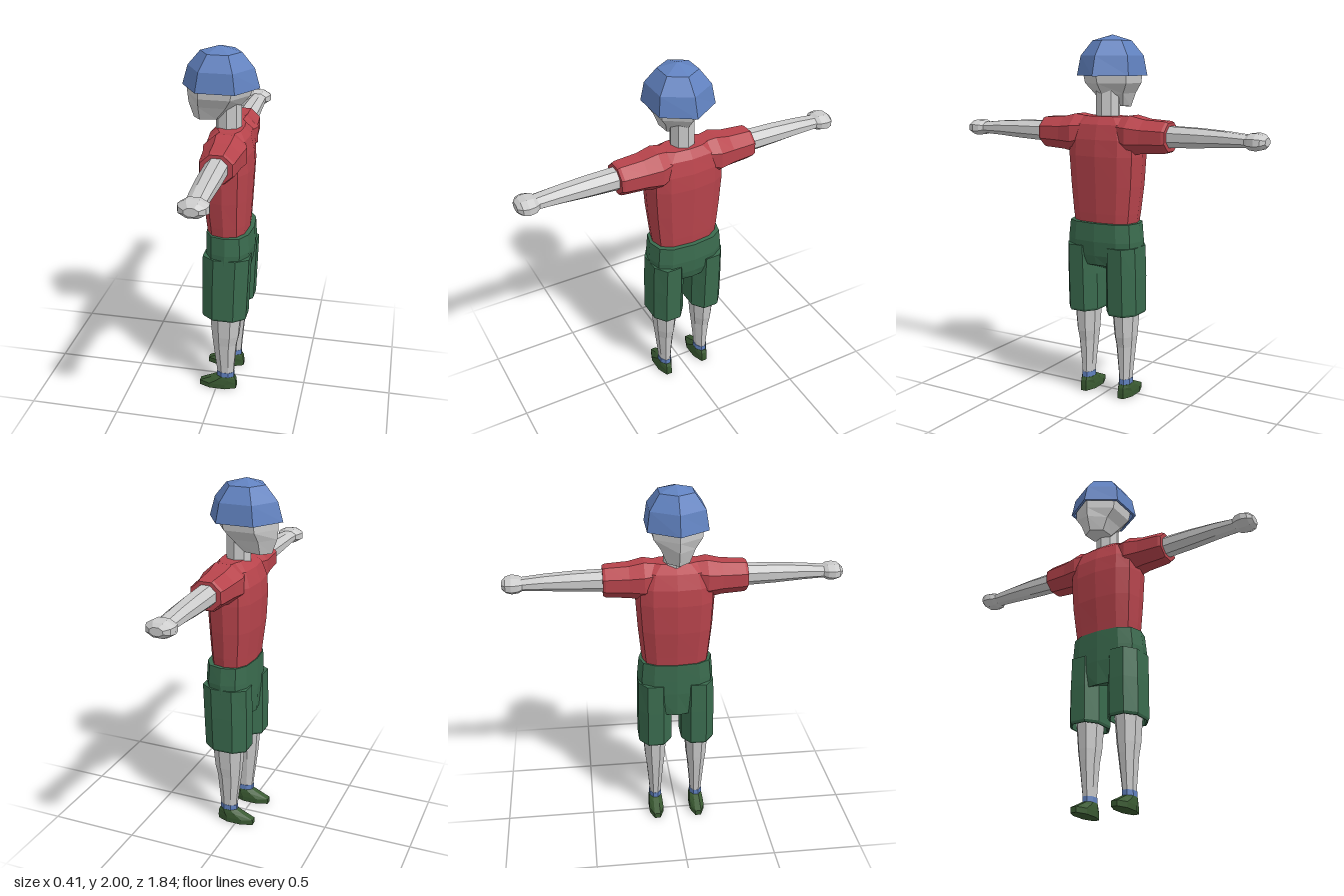
import * as THREE from 'three';

const mat = (color) => new THREE.MeshStandardMaterial({ color, flatShading: true });
const skin = mat(0xcccccc), red = mat(0xb8444c), green = mat(0x3a6b4e);
const blue = mat(0x6182c0), darkGreen = mat(0x3a5a32);

// Skins a row of n-sided rings. Each ring is [h, aMin, aMax, bMin, bMax, tilt]:
// h runs along the axis, a is x, b is z (axis 'y') or y (axis 'z').
// square < 1 makes the sections boxier; phase 0.5 puts flats on the sides.
function loft(name, material, rings, { n = 8, axis = 'y', phase = 0.5, square = 1 } = {}) {
  const unit = [];
  for (let j = 0; j < n; j++) {
    const t = ((j + phase) / n) * Math.PI * 2;
    unit.push([Math.cos(t), Math.sin(t)].map((v) => Math.sign(v) * Math.abs(v) ** square));
  }
  const maxA = Math.max(...unit.map((u) => Math.abs(u[0])));
  const maxB = Math.max(...unit.map((u) => Math.abs(u[1])));
  const pos = [], idx = [];
  const put = (a, b, h) => pos.push(...(axis === 'y' ? [a, h, b] : [a, b, h]));
  const tri = (p, q, r) => idx.push(...(axis === 'y' ? [p, r, q] : [p, q, r]));
  for (const [h, a0, a1, b0, b1, tilt = 0] of rings) {
    for (const [u, v] of unit) {
      const da = (u / maxA) * (a1 - a0) / 2, db = (v / maxB) * (b1 - b0) / 2;
      put((a0 + a1) / 2 + da, (b0 + b1) / 2 + db, h + tilt * da);
    }
  }
  for (let i = 0; i < rings.length - 1; i++) {
    for (let j = 0; j < n; j++) {
      const k = (j + 1) % n, p = i * n, q = p + n;
      tri(p + j, p + k, q + k);
      tri(p + j, q + k, q + j);
    }
  }
  // End caps
  const last = (rings.length - 1) * n, c = rings.length * n;
  for (const r of [rings[0], rings[rings.length - 1]]) put((r[1] + r[2]) / 2, (r[3] + r[4]) / 2, r[0]);
  for (let j = 0; j < n; j++) {
    const k = (j + 1) % n;
    tri(c, k, j);
    tri(c + 1, last + j, last + k);
  }
  const g = new THREE.BufferGeometry();
  g.setAttribute('position', new THREE.Float32BufferAttribute(pos, 3));
  g.setIndex(idx);
  const flat = g.toNonIndexed();
  flat.computeVertexNormals();
  const mesh = new THREE.Mesh(flat, material);
  mesh.name = name;
  return mesh;
}

// Ring symmetric in b
const sym = (h, a0, a1, b, tilt) => [h, a0, a1, -b, b, tilt];

function makeHead() {
  const head = new THREE.Group();
  head.name = 'head';
  const hex = { n: 6, phase: 0 };
  head.add(
    // Hollow six-sided helmet, from the inside round the rim to the crown
    loft('helmet', blue, [
      sym(1.83, -0.185, 0.18, 0.138), sym(1.785, -0.195, 0.19, 0.147),
      sym(1.785, -0.21, 0.205, 0.16), sym(1.89, -0.18, 0.175, 0.145),
      sym(1.97, -0.112, 0.108, 0.09), sym(2.0, -0.012, -0.002, 0.004),
    ], hex),
    loft('face', skin, [
      sym(1.618, -0.15, 0.03, 0.06, 0.08), sym(1.69, -0.178, 0.11, 0.09),
      sym(1.745, -0.184, 0.155, 0.128), sym(1.84, -0.185, 0.18, 0.138),
    ], hex),
    loft('neck', skin, [sym(1.53, -0.03, 0.11, 0.065), sym(1.72, -0.03, 0.11, 0.065)], { phase: 0 }),
  );
  return head;
}

// Arm along +z, symmetric about x = 0
function makeArm(name) {
  const arm = new THREE.Group();
  arm.name = name;
  const ring = (z, rx, y0, y1) => [z, -rx, rx, y0, y1];
  const along = { axis: 'z' };
  arm.add(
    loft('sleeve', red, [
      ring(0.06, 0.08, 1.42, 1.565), ring(0.17, 0.115, 1.37, 1.58), ring(0.25, 0.1, 1.383, 1.562),
      ring(0.375, 0.09, 1.39, 1.555), ring(0.39, 0.083, 1.398, 1.548),
    ], along),
    loft('forearm', skin, [
      ring(0.36, 0.058, 1.418, 1.532), ring(0.55, 0.058, 1.427, 1.527),
      ring(0.7, 0.054, 1.437, 1.518), ring(0.83, 0.049, 1.443, 1.505),
    ], along),
    loft('hand', skin, [
      ring(0.81, 0.048, 1.445, 1.503), ring(0.835, 0.068, 1.433, 1.515), ring(0.87, 0.075, 1.43, 1.518),
      ring(0.9, 0.064, 1.437, 1.511), ring(0.92, 0.035, 1.453, 1.495),
    ], along),
  );
  arm.position.x = 0.055;
  return arm;
}

// Leg centred on z = 0, moved out to its side
function makeLeg(name, side) {
  const leg = new THREE.Group();
  leg.name = name;
  leg.add(
    // Trouser leg with a hollow hem
    loft('shortsLeg', green, [
      sym(0.53, -0.055, 0.155, 0.078), sym(0.49, -0.06, 0.16, 0.082),
      sym(0.49, -0.067, 0.168, 0.088), sym(0.503, -0.074, 0.175, 0.094),
      sym(0.7, -0.074, 0.182, 0.094), sym(0.87, -0.07, 0.188, 0.09),
    ], { square: 0.85 }),
    loft('calf', skin, [
      sym(0.08, 0.007, 0.098, 0.03), sym(0.15, 0.0, 0.102, 0.035), sym(0.3, -0.018, 0.115, 0.048),
      sym(0.36, -0.024, 0.128, 0.056), sym(0.56, -0.038, 0.145, 0.07),
    ]),
    loft('sock', blue, [sym(0.06, 0.003, 0.101, 0.034), sym(0.108, 0.003, 0.101, 0.034)]),
    loft('shoe', darkGreen, [
      sym(0, -0.1, 0.115, 0.041), sym(0.03, -0.1, 0.115, 0.042),
      sym(0.06, -0.035, 0.112, 0.039), sym(0.078, 0.002, 0.103, 0.035),
    ]),
  );
  leg.position.z = side * 0.122;
  return leg;
}

export function createModel() {
  const model = new THREE.Group();
  model.name = 'figure';
  model.add(makeHead());

  const boxy = { n: 12, phase: 0, square: 0.75 };
  model.add(
    loft('shirt', red, [
      sym(0.96, -0.06, 0.16, 0.18), sym(1.05, -0.07, 0.167, 0.192), sym(1.2, -0.088, 0.175, 0.207),
      sym(1.36, -0.095, 0.183, 0.217), sym(1.45, -0.088, 0.178, 0.215), sym(1.53, -0.06, 0.16, 0.19),
      sym(1.572, -0.01, 0.125, 0.13),
    ], boxy),
    // Seat of the shorts, its crotch rising toward the back
    loft('shortsSeat', green, [
      sym(0.725, -0.068, 0.172, 0.11, 0.35), sym(0.82, -0.073, 0.186, 0.212),
      sym(0.9, -0.072, 0.194, 0.215), sym(1.0, -0.07, 0.188, 0.205),
    ], boxy),
  );

  // The figure looks toward -x, so its left limbs lie on +z
  const leftArm = makeArm('leftArm');
  const rightArm = makeArm('rightArm');
  rightArm.rotation.y = Math.PI;
  model.add(leftArm, rightArm, makeLeg('leftLeg', 1), makeLeg('rightLeg', -1));
  return model;
}
